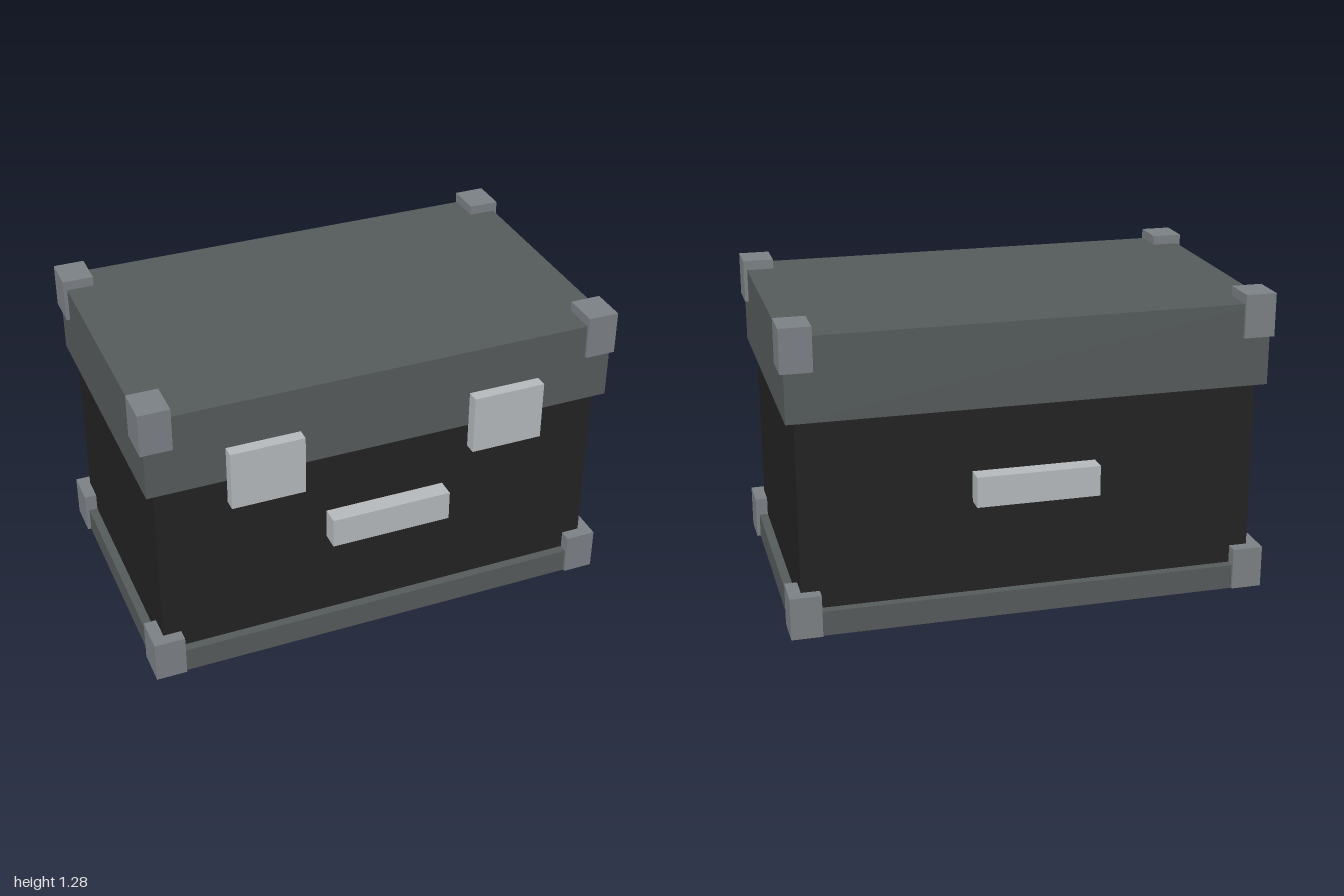
import * as THREE from 'three';

const material = (name, color) => {
  const m = new THREE.MeshStandardMaterial({ color });
  m.name = name;
  return m;
};

export function createModel() {
  const group = new THREE.Group();
  group.name = 'storageCase';

  const black = material('black panel', 0x222222);
  const grey = material('dark grey trim', 0x555a5a);
  const steel = material('steel corner', 0x7b8084);
  const silver = material('light metal', 0xb4b8bb);

  // Box given by its centre in x and z and its bottom and top heights
  const box = (name, mat, w, d, bottom, top, x = 0, z = 0) => {
    const mesh = new THREE.Mesh(new THREE.BoxGeometry(w, top - bottom, d), mat);
    mesh.name = name;
    mesh.position.set(x, (bottom + top) / 2, z);
    group.add(mesh);
  };

  // Case shell
  box('base', grey, 1.97, 1.206, 0, 0.105);
  box('body', black, 1.896, 1.13, 0.105, 0.9);
  box('lid', grey, 1.97, 1.206, 0.9, 1.245);

  // Protective corners, bottom and top
  for (const sx of [-1, 1]) {
    for (const sz of [-1, 1]) {
      box('bottomCorner', steel, 0.128, 0.153, 0.002, 0.18, sx * 0.936, sz * 0.539);
      box('topCorner', steel, 0.128, 0.153, 1.105, 1.285, sx * 0.936, sz * 0.539);
    }
  }

  // Front latches
  for (const sx of [-1, 1]) {
    box('latch', silver, 0.305, 0.051, 0.8, 1.052, sx * 0.512, 0.629);
  }

  // Front and back handles
  for (const sz of [-1, 1]) {
    box('handle', silver, 0.508, 0.075, 0.515, 0.642, 0, sz * 0.641);
  }

  return group;
}
